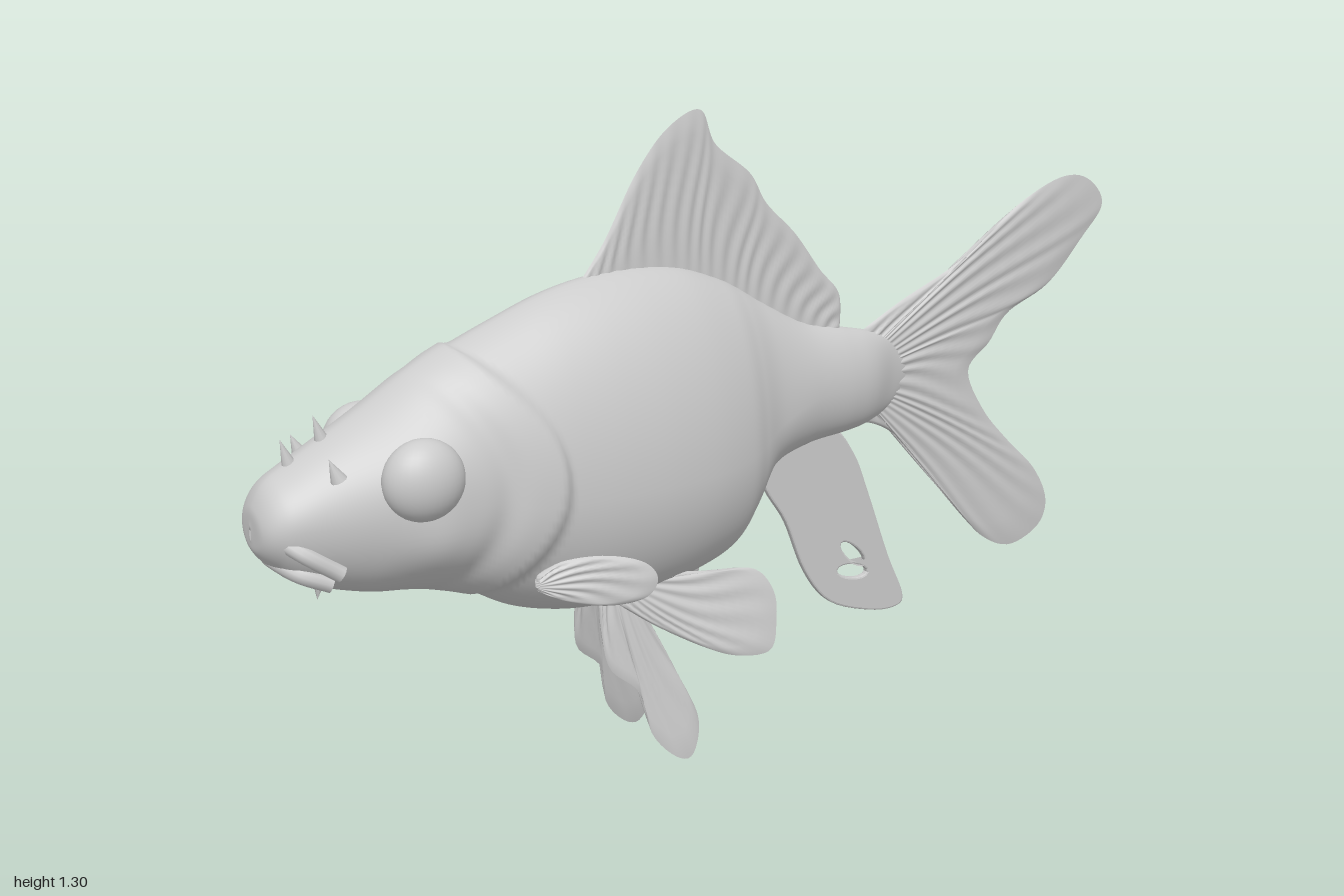
import * as THREE from 'three';

const grey = new THREE.MeshStandardMaterial({ color: 0xcccccc, side: THREE.DoubleSide });
const smooth = THREE.MathUtils.smoothstep;
const bell = (d, r) => Math.exp(-(d * d) / (r * r));

function add(group, name, geometry) {
  const mesh = new THREE.Mesh(geometry, grey);
  mesh.name = name;
  group.add(mesh);
  return mesh;
}

function buildGeometry(positions, index) {
  const g = new THREE.BufferGeometry();
  g.setAttribute('position', new THREE.Float32BufferAttribute(positions, 3));
  g.setIndex(index);
  g.computeVertexNormals();
  return g;
}

// Body stations: x, top, bottom, height of widest point, half width
const stations = [
  [-1, 0.64, 0.61, 0.625, 0.005], [-0.995, 0.675, 0.585, 0.63, 0.05], [-0.97, 0.715, 0.555, 0.635, 0.08],
  [-0.92, 0.745, 0.515, 0.64, 0.1], [-0.8, 0.81, 0.475, 0.64, 0.125], [-0.7, 0.865, 0.465, 0.65, 0.145],
  [-0.6, 0.91, 0.44, 0.65, 0.158], [-0.5, 0.95, 0.385, 0.63, 0.17], [-0.4, 0.985, 0.355, 0.62, 0.18],
  [-0.3, 1.005, 0.345, 0.62, 0.185], [-0.2, 1.01, 0.35, 0.62, 0.183], [-0.1, 0.998, 0.37, 0.62, 0.17],
  [-0.01, 0.965, 0.4, 0.63, 0.145], [0.04, 0.938, 0.455, 0.645, 0.12], [0.1, 0.9, 0.55, 0.67, 0.092],
  [0.2, 0.845, 0.585, 0.7, 0.07], [0.3, 0.82, 0.595, 0.7, 0.058], [0.36, 0.805, 0.605, 0.7, 0.045],
  [0.42, 0.78, 0.63, 0.705, 0.018], [0.47, 0.73, 0.68, 0.705, 0.003],
];

// Lofted body with a raised gill cover, cheeks and eye sockets
function bodyGeometry() {
  const curve = (f) => new THREE.CatmullRomCurve3(stations.map(f), false, 'catmullrom', 0.5);
  const outline = curve((s) => new THREE.Vector3(s[0], s[1], s[2]));
  const breadth = curve((s) => new THREE.Vector3(s[0], s[3], s[4]));
  const rows = 240, sides = 72, pos = [], index = [];
  for (let i = 0; i <= rows; i++) {
    const o = outline.getPoint(i / rows), b = breadth.getPoint(i / rows);
    const x = o.x, top = o.y, bottom = o.z, mid = b.y, width = Math.max(b.z, 0.002);
    for (let j = 0; j < sides; j++) {
      const a = (j / sides) * Math.PI * 2, s = Math.sin(a), c = Math.cos(a);
      const y = mid + s * (s > 0 ? top - mid : mid - bottom);
      const z = width * Math.sign(c) * Math.pow(Math.abs(c), s > 0 ? 1.2 : 1);
      const inside = -0.43 - 2.7 * (y - 0.67) ** 2 - x;
      let bump = 0.016 * smooth(inside, 0, 0.025) * (1 - smooth(inside, 0.04, 0.3));
      bump -= 0.008 * bell(inside - 0.13, 0.03) * Math.abs(c);
      const side = Math.abs(c);
      bump += side * 0.022 * bell(Math.hypot(x + 0.7, y - 0.575), 0.07);
      bump += side * 0.02 * bell(Math.hypot(x + 0.72, y - 0.71), 0.1);
      pos.push(x, y + bump * s * 0.6, z + bump * c);
    }
  }
  for (let i = 0; i < rows; i++) for (let j = 0; j < sides; j++) {
    const k = (j + 1) % sides, a = i * sides, b = a + sides;
    index.push(a + j, b + j, a + k, b + j, b + k, a + k);
  }
  return buildGeometry(pos, index);
}

// Thin fin: rays fan from a root curve to a rim curve, z comes from a rule
function finGeometry(root, rim, zAt = () => 0, rays = 16, thick = 0.008) {
  const spline = (p) => new THREE.SplineCurve(p.map(([x, y]) => new THREE.Vector2(x, y)));
  const from = spline(root), to = spline(rim);
  const nu = 14, nv = rays * 6, pos = [], index = [];
  for (const face of [1, -1]) {
    const start = pos.length / 3;
    for (let i = 0; i <= nv; i++) {
      const v = i / nv, p = from.getPoint(v), q = to.getPoint(v);
      for (let j = 0; j <= nu; j++) {
        const u = j / nu, x = p.x + (q.x - p.x) * u, y = p.y + (q.y - p.y) * u;
        const edge = Math.sqrt(1 - u ** 10) * Math.min(1, Math.sqrt(v * (1 - v)) * 5);
        const ray = 0.0025 * Math.sin(v * rays * Math.PI * 2 + 2 * Math.sin(u * 5)) * Math.sin(u * Math.PI);
        pos.push(x, y, zAt(x, y) + face * edge * thick * (1 - 0.3 * u) + ray);
      }
    }
    for (let i = 0; i < nv; i++) for (let j = 0; j < nu; j++) {
      const a = start + i * (nu + 1) + j, b = a + nu + 1;
      if (face > 0) index.push(a, b, a + 1, b, b + 1, a + 1);
      else index.push(a, a + 1, b, b, a + 1, b + 1);
    }
  }
  return buildGeometry(pos, index);
}

// Anal fin with two torn openings
function analFinGeometry() {
  const v = (p) => p.map(([x, y]) => new THREE.Vector2(x, y));
  const shape = new THREE.Shape(new THREE.SplineCurve(v([
    [0.1, 0.56], [0.11, 0.5], [0.16, 0.42], [0.21, 0.3], [0.275, 0.22], [0.38, 0.178], [0.45, 0.172],
    [0.468, 0.2], [0.425, 0.3], [0.37, 0.45], [0.33, 0.545], [0.27, 0.61], [0.15, 0.61],
  ])).getPoints(60));
  for (const [x, y, rx, ry, turn] of [[0.333, 0.318, 0.042, 0.014, -0.75], [0.332, 0.278, 0.04, 0.015, -0.25]]) {
    shape.holes.push(new THREE.Path(new THREE.EllipseCurve(x, y, rx, ry, 0, Math.PI * 2, false, turn).getPoints(16)));
  }
  const g = new THREE.ExtrudeGeometry(shape, {
    depth: 0.008, bevelThickness: 0.004, bevelSize: 0.004, bevelOffset: -0.004, bevelSegments: 2,
  });
  return g.translate(0, 0, -0.004);
}

export function createModel() {
  const fish = new THREE.Group();
  fish.name = 'fish';
  add(fish, 'body', bodyGeometry());

  // Fins on the centre line
  add(fish, 'dorsalFin', finGeometry(
    [[-0.3, 0.97], [-0.1, 0.97], [0.08, 0.88], [0.28, 0.79]],
    [[-0.32, 0.99], [-0.26, 1.07], [-0.19, 1.19], [-0.12, 1.27], [-0.045, 1.3], [-0.01, 1.23], [0.07, 1.165],
      [0.11, 1.1], [0.18, 1.03], [0.24, 0.95], [0.29, 0.89], [0.29, 0.81]], undefined, 20));
  add(fish, 'tailFin', finGeometry(
    [[0.34, 0.75], [0.35, 0.7], [0.34, 0.66]],
    [[0.34, 0.8], [0.45, 0.855], [0.6, 0.92], [0.75, 1.02], [0.87, 1.07], [0.95, 1.06], [0.995, 1.0], [0.94, 0.93],
      [0.85, 0.84], [0.74, 0.79], [0.69, 0.73], [0.635, 0.675], [0.68, 0.58], [0.75, 0.5], [0.83, 0.42], [0.87, 0.34],
      [0.85, 0.28], [0.77, 0.25], [0.69, 0.285], [0.62, 0.36], [0.55, 0.45], [0.47, 0.54], [0.4, 0.59], [0.34, 0.61]],
    undefined, 24));
  add(fish, 'analFin', analFinGeometry());

  for (const side of [1, -1]) {
    const label = side > 0 ? 'left' : 'right';

    // Paired fins
    add(fish, label + 'PectoralFin', finGeometry(
      [[-0.5, 0.475], [-0.5, 0.46]],
      [[-0.5, 0.485], [-0.45, 0.508], [-0.37, 0.51], [-0.3, 0.49], [-0.275, 0.455], [-0.3, 0.42], [-0.37, 0.412],
        [-0.45, 0.43], [-0.5, 0.455]],
      (x, y) => side * (0.148 + 0.28 * (x + 0.5) - 0.1 * (y - 0.46)), 7, 0.009));
    add(fish, label + 'PelvicFin', finGeometry(
      [[-0.3, 0.38], [-0.24, 0.38]],
      [[-0.31, 0.36], [-0.312, 0.3], [-0.3, 0.22], [-0.24, 0.16], [-0.22, 0.07], [-0.17, 0.012], [-0.13, 0.008],
        [-0.11, 0.08], [-0.15, 0.18], [-0.19, 0.27], [-0.23, 0.35]],
      (x, y) => side * (0.045 + 0.17 * (0.35 - y)), 8));
    add(fish, label + 'BellyFin', finGeometry(
      [[-0.28, 0.38], [-0.25, 0.41]],
      [[-0.3, 0.37], [-0.22, 0.31], [-0.12, 0.25], [-0.05, 0.222], [0.02, 0.222], [0.04, 0.28], [0.04, 0.34],
        [0, 0.39], [-0.1, 0.4], [-0.22, 0.42]],
      (x, y) => side * (0.09 + 0.13 * (x + 0.28) + 0.2 * (0.37 - y)), 8));

    // Bulging eye
    const eye = add(fish, label + 'Eye', new THREE.SphereGeometry(0.078, 32, 20));
    eye.position.set(-0.72, 0.712, side * 0.138);
    eye.scale.z = 0.72;
    eye.rotation.y = -side * 0.1;
  }

  // Lips wrapped round the snout
  const lip = (name, pts, r) => add(fish, name, new THREE.TubeGeometry(
    new THREE.CatmullRomCurve3(pts.map((p) => new THREE.Vector3(...p))), 40, r, 10));
  lip('upperLip', [[-0.87, 0.55, -0.1], [-0.94, 0.6, -0.085], [-0.983, 0.635, 0], [-0.94, 0.6, 0.085], [-0.87, 0.55, 0.1]], 0.016);
  lip('lowerLip', [[-0.88, 0.525, -0.075], [-0.935, 0.55, -0.06], [-0.965, 0.57, 0], [-0.935, 0.55, 0.06], [-0.88, 0.525, 0.075]], 0.016);

  // Small points on the snout and chin: x, y, z, lean, height
  const points = [
    [-0.925, 0.76, 0, 0.3, 0.06], [-0.86, 0.795, 0, 0.3, 0.06],
    [-0.87, 0.745, 0.088, 0.4, 0.045], [-0.87, 0.745, -0.088, 0.4, 0.045],
    [-0.9, 0.52, 0.06, 3, 0.05], [-0.9, 0.52, -0.06, 3, 0.05],
  ];
  for (const [x, y, z, lean, h] of points) {
    const tip = add(fish, y > 0.6 ? 'nostrilFlap' : 'chinBarb', new THREE.ConeGeometry(0.016, h, 10));
    tip.position.set(x, y, z);
    tip.rotation.z = lean;
  }
  return fish;
}
